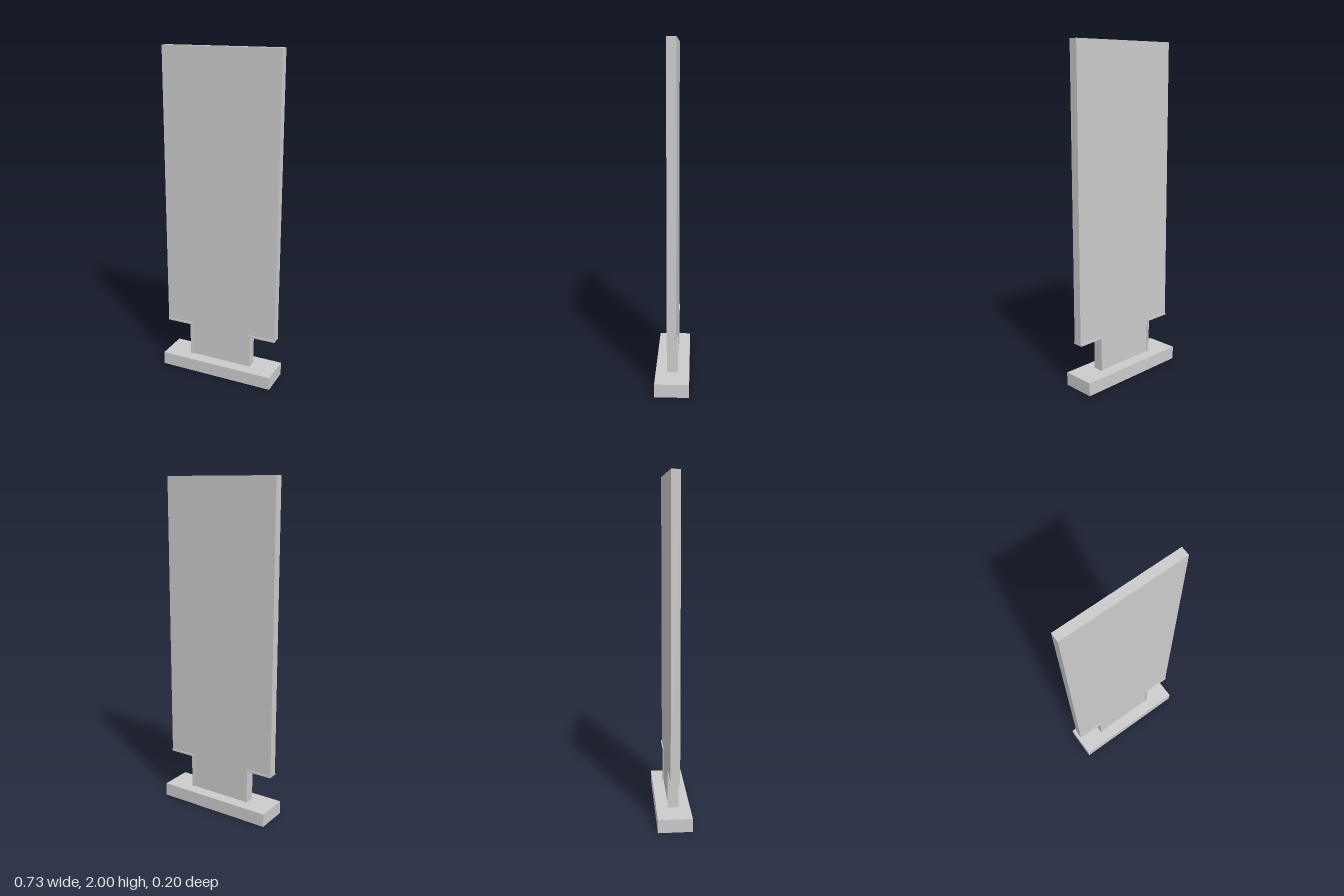
import * as THREE from 'three';

const HALF = 0.364;      // half width of panel and base
const BASE_TOP = 0.08;
const NOTCH_Y = 0.284;   // underside of the panel's wings
const NECK = 0.205;      // half width of the neck
const TRIM = 0.013;      // width of the notch edging

export function createModel() {
  const model = new THREE.Group();
  const material = new THREE.MeshStandardMaterial({ color: 0xcccccc, flatShading: true });

  const add = (name, geometry) => {
    const mesh = new THREE.Mesh(geometry, material);
    mesh.name = name;
    model.add(mesh);
  };

  // Extrudes an outline in the xy plane, centred on z = 0
  const slab = (points, depth) => {
    const shape = new THREE.Shape(points.map(([x, y]) => new THREE.Vector2(x, y)));
    return new THREE.ExtrudeGeometry(shape, { depth, bevelEnabled: false }).translate(0, 0, -depth / 2);
  };

  // Base plate
  add('base', new THREE.BoxGeometry(2 * HALF, BASE_TOP, 0.2).translate(0, BASE_TOP / 2, 0));

  // T-shaped upright panel; its notch edges sit inside the edging
  const neck = NECK - TRIM / 2, wing = NOTCH_Y + TRIM / 2;
  const right = [[neck, BASE_TOP], [neck, wing], [HALF, wing], [HALF, 2]];
  const left = right.map(([x, y]) => [-x, y]).reverse();
  add('panel', slab([...right, ...left], 0.053));

  // L-shaped edging around each notch, slightly proud of both panel faces
  const edging = [
    [NECK - TRIM, BASE_TOP], [NECK, BASE_TOP], [NECK, NOTCH_Y],
    [HALF, NOTCH_Y], [HALF, NOTCH_Y + TRIM * 0.8], [NECK - TRIM, NOTCH_Y + TRIM * 0.8],
  ];
  for (const [side, name] of [[1, 'leftNotchEdging'], [-1, 'rightNotchEdging']]) {
    add(name, slab(edging.map(([x, y]) => [side * x, y]), 0.064));
  }

  return model;
}
